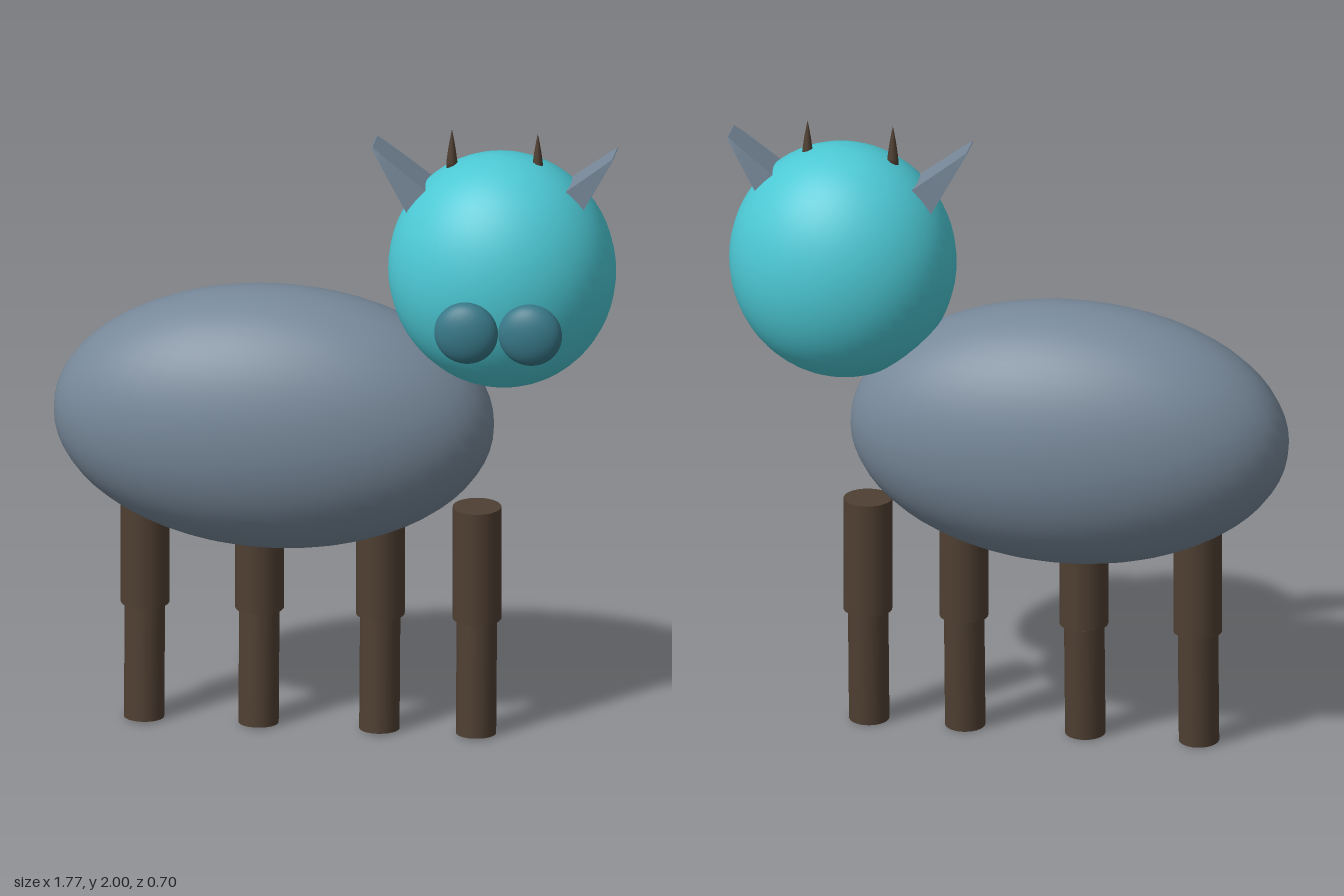
import * as THREE from 'three';

const Z = -0.018; // shared centre plane of body, head and legs

const mat = (color) => new THREE.MeshStandardMaterial({ color });
const slate = mat(0x778899);
const cyan = mat(0x4cc8d4);
const teal = mat(0x387888);
const brown = mat(0x4f3f32);

function add(parent, name, geometry, material, x, y, z) {
  const mesh = new THREE.Mesh(geometry, material);
  mesh.name = name;
  mesh.position.set(x, y, z);
  parent.add(mesh);
  return mesh;
}

const ellipsoid = (rx, ry, rz) => new THREE.SphereGeometry(1, 48, 32).scale(rx, ry, rz);

// Flat wedge: thin edge at the tip (y = 0), thicker and wider toward the base (y = -length)
function earGeometry(length) {
  const g = new THREE.BoxGeometry(1, length, 1, 1, 8, 1).translate(0, -length / 2, 0);
  const p = g.attributes.position;
  for (let i = 0; i < p.count; i++) {
    const y = p.getY(i);
    const t = Math.max(0, -y / length);
    const thickness = 0.004 + 0.118 * t;
    const width = 0.104 + 0.042 * Math.sqrt(t);
    p.setXYZ(i, p.getX(i) * thickness, y, p.getZ(i) * width);
  }
  g.computeVertexNormals();
  return g;
}

export function createModel() {
  const model = new THREE.Group();
  model.name = 'animal';

  add(model, 'body', ellipsoid(0.692, 0.422, 0.334), slate, -0.195, 1.018, Z);

  // Head with eyes, ears and horns
  const head = new THREE.Group();
  head.name = 'headGroup';
  model.add(head);
  add(head, 'head', ellipsoid(0.356, 0.378, 0.301), cyan, 0.523, 1.544, Z);

  const eye = ellipsoid(0.1, 0.1, 0.053);
  add(head, 'rightEye', eye, teal, 0.455, 1.444, 0.297);
  add(head, 'leftEye', eye, teal, 0.655, 1.444, 0.286);

  const ear = earGeometry(0.28);
  const hornProfile = [[0, 0], [0.018, 0.005], [0.017, 0.03], [0.011, 0.075], [0.005, 0.11], [0, 0.135]]
    .map(([r, y]) => new THREE.Vector2(r, y));
  const horn = new THREE.LatheGeometry(hornProfile, 16);
  for (const [side, s] of [['right', -1], ['left', 1]]) {
    add(head, side + 'Ear', ear, slate, 0.5 + s * 0.379, 1.946, Z).rotation.z = -s * 0.71;
    add(head, side + 'Horn', horn, brown, 0.5 + s * 0.135, 1.865, Z);
  }

  // Four legs in one row, each a thigh over a slightly tilted shin
  const thigh = new THREE.CylinderGeometry(0.076, 0.076, 0.37, 32);
  const shin = new THREE.CylinderGeometry(0.063, 0.063, 0.37, 32);
  [-0.6, -0.24, 0.14, 0.444].forEach((x, i) => {
    const leg = new THREE.Group();
    leg.name = 'leg' + (i + 1);
    leg.position.x = x;
    model.add(leg);
    add(leg, 'upperLeg', thigh, brown, 0, 0.565, Z);
    add(leg, 'lowerLeg', shin, brown, 0, 0.191, -0.004).rotation.x = -0.05;
  });

  return model;
}
